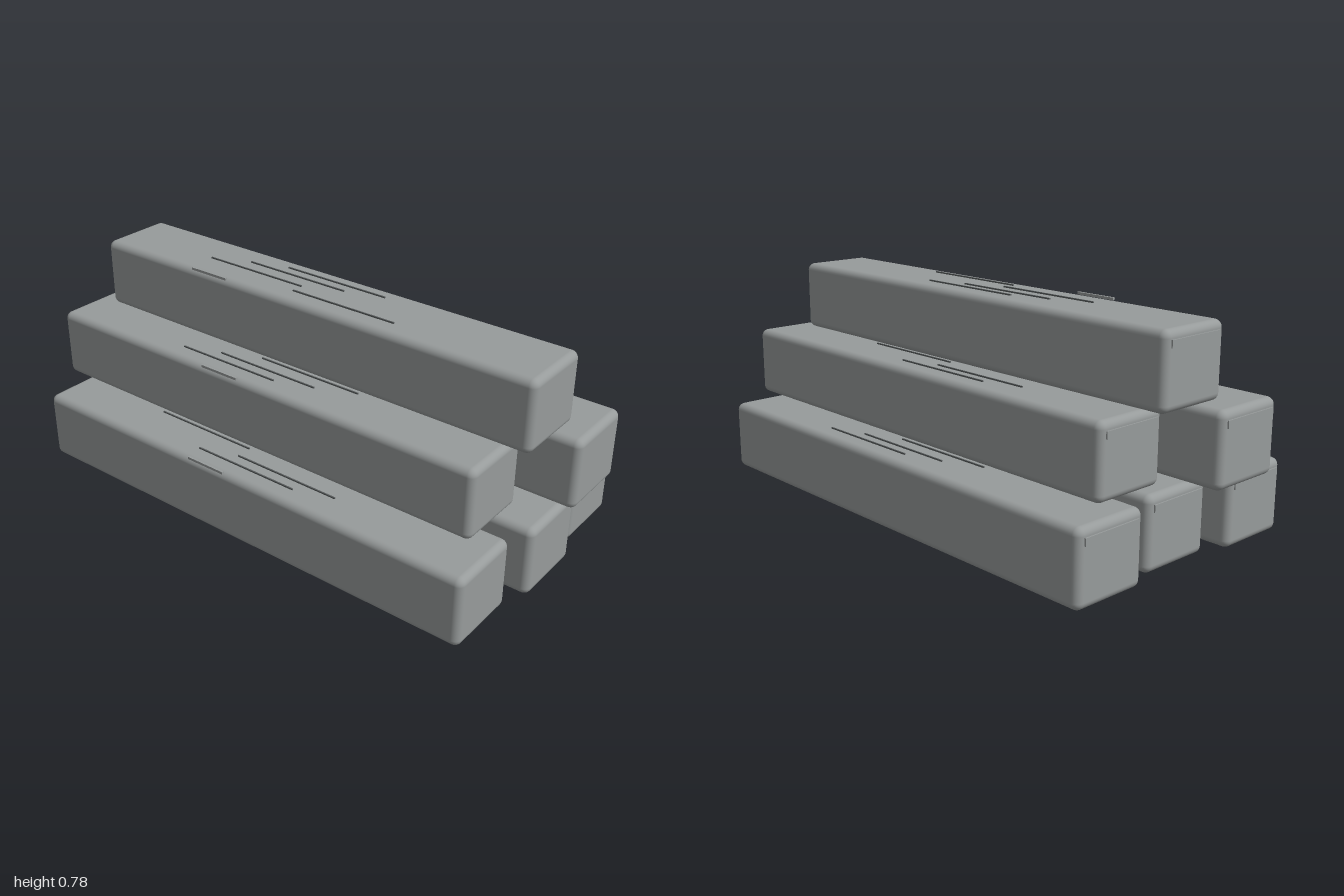
import * as THREE from 'three';
import { RoundedBoxGeometry } from 'three/addons/geometries/RoundedBoxGeometry.js';

const LENGTH = 1.83, HEIGHT = 0.255, DEPTH = 0.281, PITCH = 0.257;

// Layer, x, z, first groove in the repeating pattern, x of the front edge strip
const BARS = [
  [0, 0, -0.35, 0, -0.39],
  [0, 0.04, 0, 1, -0.25],
  [0, 0, 0.35, 2, -0.11],
  [1, 0.085, -0.175, 2, -0.25],
  [1, -0.085, 0.175, 3, -0.11],
  [2, 0, 0, 1, -0.39],
];
const GROOVE_X = [0.15, 0.01, -0.13, -0.27];
const GROOVE_Z = [-0.073, -0.03, 0.028, 0.073];

export function createModel() {
  const steel = new THREE.MeshStandardMaterial({ color: 0x979b9b });
  steel.name = 'grey metal';
  const dark = new THREE.MeshStandardMaterial({ color: 0x5a5e5f });
  dark.name = 'dark grey';

  const barGeo = new RoundedBoxGeometry(LENGTH, HEIGHT, DEPTH, 4, 0.026);
  const grooveGeo = new THREE.BoxGeometry(0.42, 0.005, 0.005);
  const edgeGeo = new THREE.BoxGeometry(0.16, 0.009, 0.009);
  const endGeo = new THREE.BoxGeometry(0.008, 0.025, 0.23);

  const add = (parent, name, geo, mat, x, y, z) => {
    const mesh = new THREE.Mesh(geo, mat);
    mesh.name = name;
    mesh.position.set(x, y, z);
    parent.add(mesh);
  };

  const model = new THREE.Group();
  model.name = 'barStack';
  BARS.forEach(([layer, x, z, start, stripX], n) => {
    const bar = new THREE.Group();
    bar.name = `bar${n + 1}`;
    bar.position.set(x, layer * PITCH, z);
    add(bar, 'barBody', barGeo, steel, 0, HEIGHT / 2, 0);
    // Staggered grain lines on the top face
    GROOVE_Z.forEach((gz, i) =>
      add(bar, 'grainLine', grooveGeo, dark, GROOVE_X[(start + i) % 4], HEIGHT + 0.0055, gz));
    // Short strip on the front top edge, thin ridge across the right end
    add(bar, 'edgeStrip', edgeGeo, steel, stripX, HEIGHT + 0.002, 0.138);
    add(bar, 'endRidge', endGeo, steel, -LENGTH / 2 - 0.001, HEIGHT - 0.042, 0);
    model.add(bar);
  });
  return model;
}
